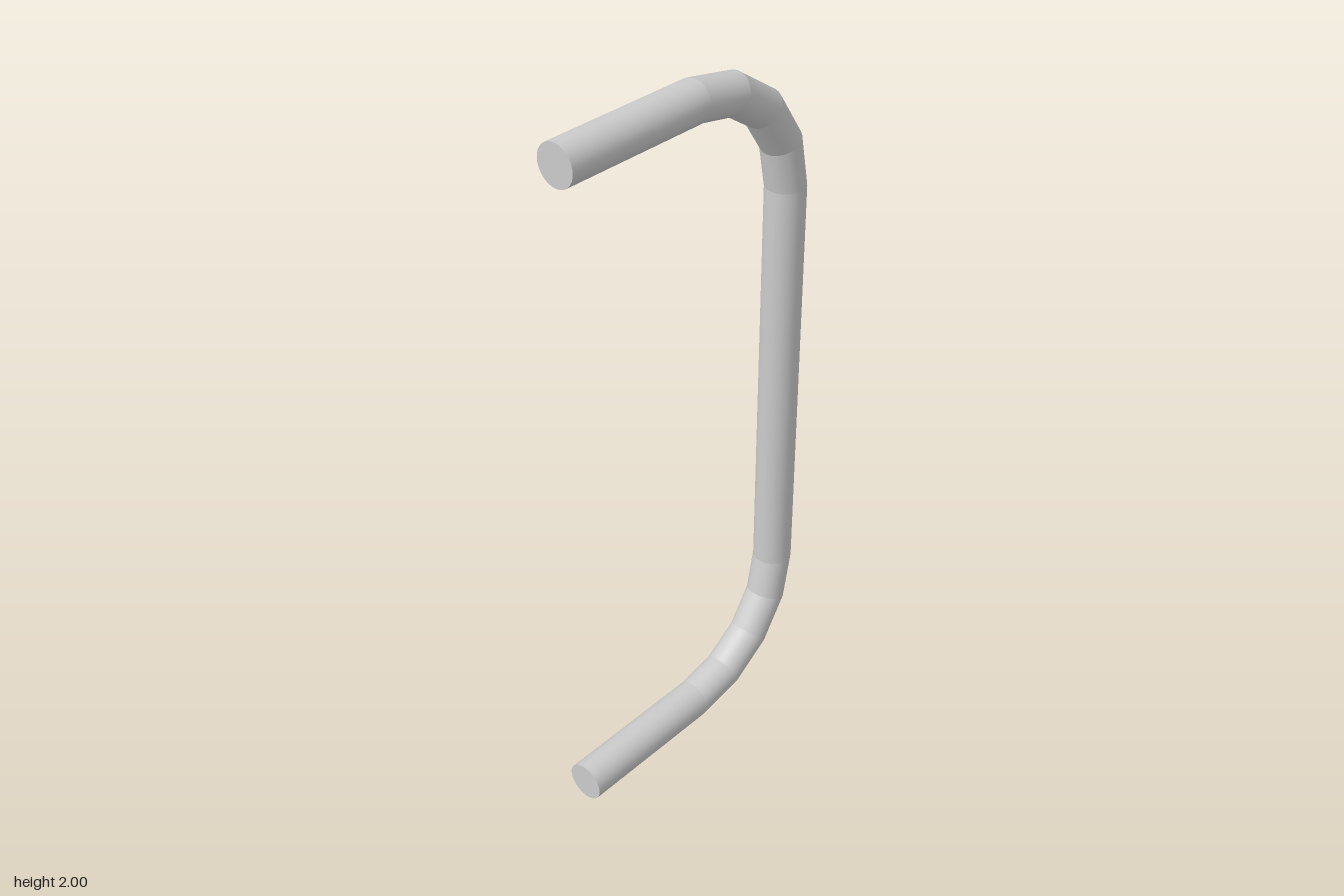
import * as THREE from 'three';

const RADIUS = 0.055, SIDES = 32, BEND = 0.345, BEND_STEPS = 4;
const LEFT_END = -0.423, BEND_X = 0.02, TOP = 1.945, BOTTOM = 0.055;

// One span between two stations; smooth around the bar, creased at the joints
function spanGeometry(s0, s1) {
  const pos = [], nor = [], idx = [];
  const mid = (s0.a + s1.a) / 2;
  for (const s of [s0, s1]) {
    for (let j = 0; j <= SIDES; j++) {
      const t = (j / SIDES) * Math.PI * 2;
      const c = Math.cos(t), d = Math.sin(t);
      pos.push(s.x + RADIUS * c * Math.sin(s.a), s.y + RADIUS * c * Math.cos(s.a), RADIUS * d);
      nor.push(c * Math.sin(mid), c * Math.cos(mid), d);
    }
  }
  for (let j = 0; j < SIDES; j++) {
    const k = j + SIDES + 1;
    idx.push(j, j + 1, k, j + 1, k + 1, k);
  }
  const g = new THREE.BufferGeometry();
  g.setAttribute('position', new THREE.Float32BufferAttribute(pos, 3));
  g.setAttribute('normal', new THREE.Float32BufferAttribute(nor, 3));
  g.setIndex(idx);
  return g;
}

// Stations along a quarter bend; a is the outward direction, measured from +y
function bend(centreY, startAngle) {
  return Array.from({ length: BEND_STEPS + 1 }, (_, i) => {
    const a = startAngle + (i / BEND_STEPS) * Math.PI / 2;
    return { x: BEND_X + BEND * Math.sin(a), y: centreY + BEND * Math.cos(a), a };
  });
}

export function createModel() {
  const model = new THREE.Group();
  model.name = 'pullHandle';
  const material = new THREE.MeshStandardMaterial({ color: 0xcccccc });

  const topBend = bend(TOP - BEND, 0);
  const bottomBend = bend(BOTTOM + BEND, Math.PI / 2);

  // Each part of the bar is a run of stations
  const parts = {
    topArm: [{ x: LEFT_END, y: TOP, a: 0 }, topBend[0]],
    topBend,
    grip: [topBend[BEND_STEPS], bottomBend[0]],
    bottomBend,
    bottomArm: [bottomBend[BEND_STEPS], { x: LEFT_END, y: BOTTOM, a: Math.PI }],
  };
  for (const [name, stations] of Object.entries(parts)) {
    const part = new THREE.Group();
    part.name = name;
    for (let i = 0; i < stations.length - 1; i++) {
      const span = new THREE.Mesh(spanGeometry(stations[i], stations[i + 1]), material);
      span.name = name + 'Span';
      part.add(span);
    }
    model.add(part);
  }

  // Flat end caps
  for (const [name, y] of [['topEndCap', TOP], ['bottomEndCap', BOTTOM]]) {
    const cap = new THREE.Mesh(new THREE.CircleGeometry(RADIUS, SIDES), material);
    cap.name = name;
    cap.rotation.y = -Math.PI / 2;
    cap.position.set(LEFT_END, y, 0);
    model.add(cap);
  }
  return model;
}
